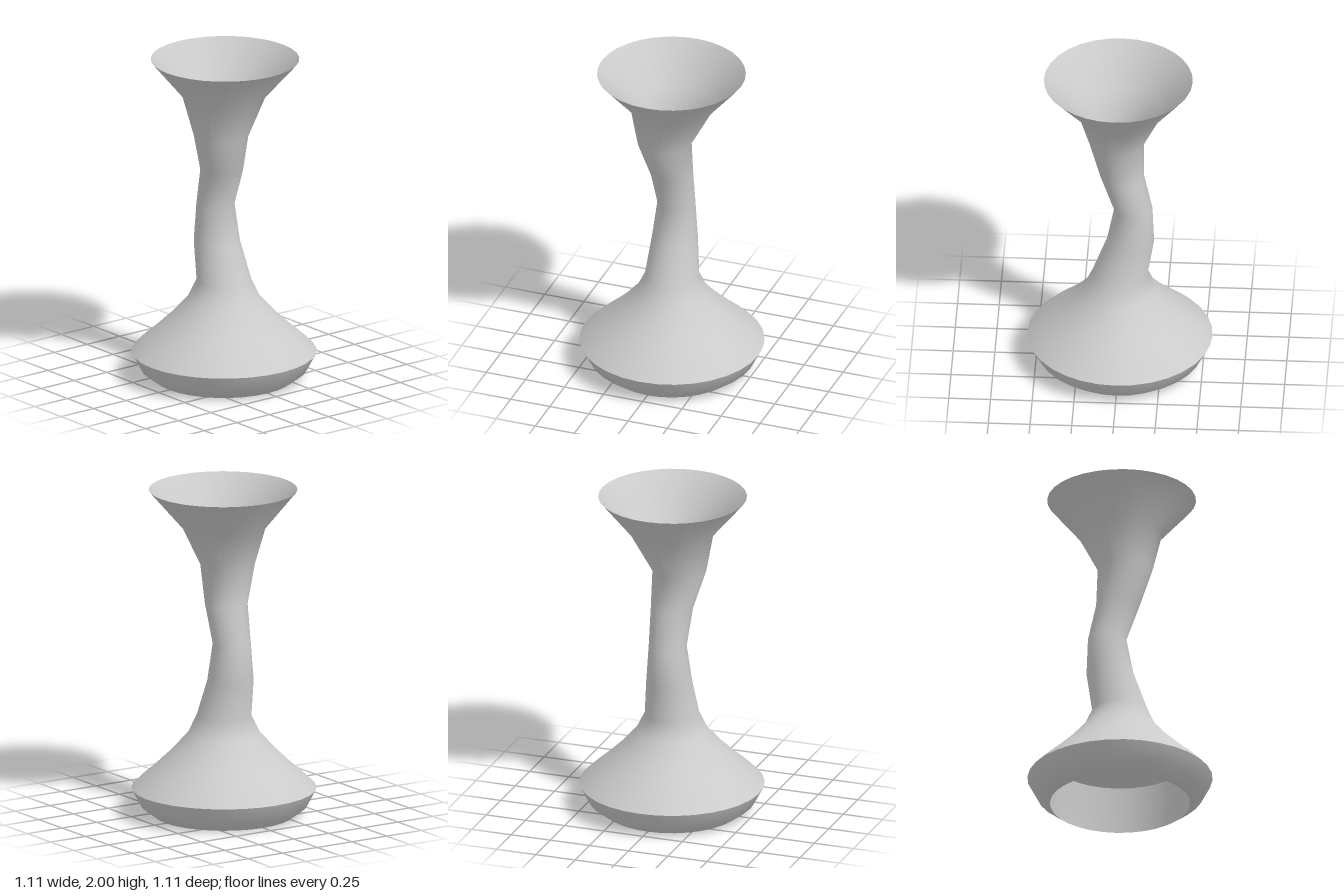
import * as THREE from 'three';
import { mergeVertices } from 'three/addons/utils/BufferGeometryUtils.js';

const SIDES = 32;
const material = new THREE.MeshStandardMaterial({ color: 0xcccccc, side: THREE.DoubleSide });

// Open smooth skin through horizontal rings given as [y, rx, rz, cx, cz], bottom to top
function loft(name, rings) {
  const positions = [], index = [];
  for (const [y, rx, rz = rx, cx = 0, cz = 0] of rings) {
    for (let i = 0; i < SIDES; i++) {
      const a = (i / SIDES) * Math.PI * 2;
      positions.push(cx + rx * Math.sin(a), y, cz + rz * Math.cos(a));
    }
  }
  for (let r = 0; r < rings.length - 1; r++) {
    for (let i = 0; i < SIDES; i++) {
      const j = (i + 1) % SIDES;
      const a = r * SIDES + i, b = r * SIDES + j;
      index.push(a, b, b + SIDES, a, b + SIDES, a + SIDES);
    }
  }
  let geometry = new THREE.BufferGeometry();
  geometry.setAttribute('position', new THREE.Float32BufferAttribute(positions, 3));
  geometry.setIndex(index);
  geometry = mergeVertices(geometry);
  geometry.computeVertexNormals();
  const mesh = new THREE.Mesh(geometry, material);
  mesh.name = name;
  return mesh;
}

export function createModel() {
  const group = new THREE.Group();
  group.name = 'vase';

  // Rounded foot below the sharp rim
  group.add(loft('foot', [[0, 0.42], [0.06, 0.5], [0.165, 0.555]]));

  // Shoulder, winding neck and flared mouth
  group.add(loft('body', [
    [0.165, 0.555],
    [0.225, 0.495],
    [0.3, 0.41],
    [0.39, 0.315],
    [0.5, 0.217],
    [0.61, 0.167, 0.163, 0, 0],
    [0.84, 0.142, 0.137, -0.062, 0.005],
    [1.07, 0.115, 0.114, -0.08, 0.002],
    [1.3, 0.13, 0.127, -0.015, 0.006],
    [1.53, 0.165, 0.162, 0.022, 0.04],
    [1.77, 0.251, 0.25, 0, 0],
    [2, 0.446, 0.446, 0.01, 0],
  ]));

  // Recess wall inside the foot, rising until it meets the shoulder
  group.add(loft('innerCollar', [[0.29, 0.415], [0.15, 0.42], [0, 0.42]]));

  return group;
}
